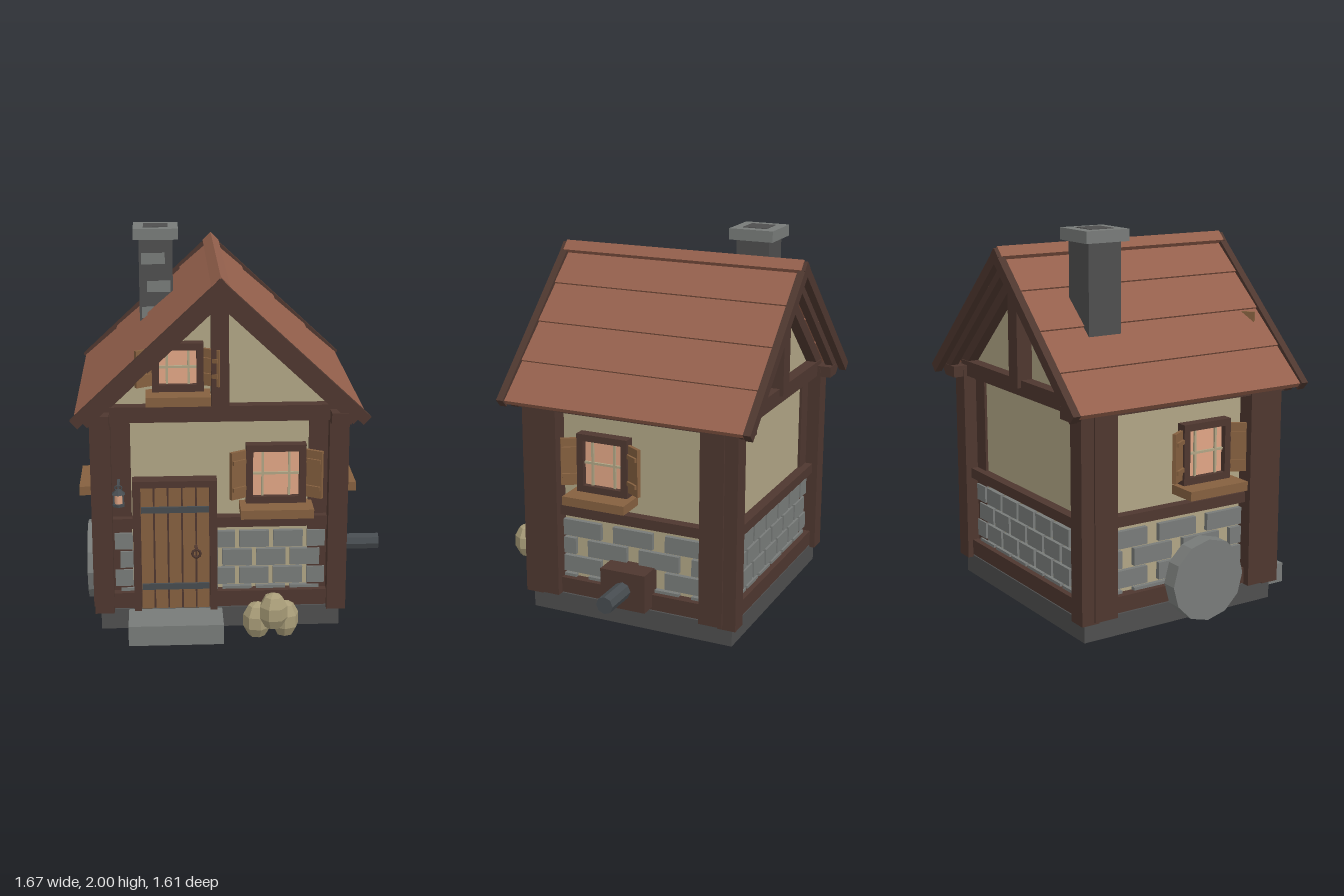
import * as THREE from 'three';

const paint = (name, color) => {
  const m = new THREE.MeshStandardMaterial({ color });
  m.name = name;
  return m;
};

export function createModel() {
  const plaster = paint('plaster', 0xb0a585), timber = paint('darkTimber', 0x4e372f),
    wood = paint('plankWood', 0x85603f), tile = paint('roofTile', 0x94604c),
    stone = paint('lightStone', 0x787b79), dark = paint('darkStone', 0x4e4e4e),
    iron = paint('iron', 0x464b4f), glass = paint('warmGlass', 0xe0a585), sack = paint('sackCloth', 0xa89c78);
  sack.flatShading = true;

  const model = new THREE.Group();
  model.name = 'cottage';
  const CX = -0.083, CZ = -0.097, HX = 0.573, HZ = 0.523; // house centre, wall half sizes

  const add = (parent, name, geo, mat, x = 0, y = 0, z = 0) => {
    const m = new THREE.Mesh(geo, mat);
    m.name = name;
    m.position.set(x, y, z);
    parent.add(m);
    return m;
  };
  const box = (parent, name, mat, w, h, d, x, y, z) =>
    add(parent, name, new THREE.BoxGeometry(w, h, d), mat, x, y, z);
  const group = (parent, name, x, y, z, ry = 0) => {
    const g = new THREE.Group();
    g.name = name;
    g.position.set(x, y, z);
    g.rotation.y = ry;
    parent.add(g);
    return g;
  };

  const house = group(model, 'house', CX, 0, CZ);

  // Foundation and pentagonal plaster body
  box(house, 'foundation', dark, 1.256, 0.11, 1.156, 0, 0.055, 0);
  const body = new THREE.Shape();
  [[-HX, 0.1], [HX, 0.1], [HX, 1.2], [0, 1.775], [-HX, 1.2]].forEach(([x, y], i) =>
    i ? body.lineTo(x, y) : body.moveTo(x, y));
  add(house, 'plasterWalls', new THREE.ExtrudeGeometry(body, { depth: HZ * 2, bevelEnabled: false }), plaster, 0, 0, -HZ);

  // Corner posts and eave plates
  for (const sx of [-1, 1]) {
    for (const sz of [-1, 1]) {
      box(house, 'cornerPost', timber, 0.1, 1.08, 0.1, sx * 0.608, 0.64, sz * 0.558);
      box(house, 'innerStud', timber, 0.13, 1.06, 0.13, sx * 0.605 - sx * 0.002 - sx * 0.001, 0.64, sz * 0.472);
      box(house, 'innerStud', timber, 0.13, 1.06, 0.13, sx * 0.524, 0.64, sz * 0.472);
    }
    box(house, 'eavePlate', timber, 0.1, 0.06, 1.33, sx * 0.61, 1.165, 0);
  }

  // Each wall: sill, rail and rows of stones, built facing +z
  const addWall = (name, half, dist, ry, pitch, stoneW, gable) => {
    const w = group(house, name, 0, 0, 0, ry);
    box(w, 'sillBeam', timber, half * 2, 0.085, 0.1, 0, 0.158, dist + 0.005);
    box(w, 'midRail', timber, half * 2 - 0.03, 0.055, 0.1, 0, 0.588, dist + 0.005);
    const edge = half - 0.02;
    for (let row = 0; row < 4; row++) {
      const y = 0.48 - row * 0.103;
      for (let i = -6; i <= 6; i++) {
        const c = (i + (row % 2 ? 0.5 : 0)) * pitch;
        const a = Math.max(-edge, c - stoneW / 2), b = Math.min(edge, c + stoneW / 2);
        if (b - a > 0.04) box(w, 'wallStone', stone, b - a, 0.09, 0.05, (a + b) / 2, y, dist);
      }
    }
    if (!gable) return;
    box(w, 'gableBeam', timber, 1.25, 0.082, 0.11, 0, 1.178, dist + 0.01);
    box(w, 'kingPost', timber, 0.09, 0.6, 0.13, 0, 1.48, dist + 0.02);
    for (const s of [-1, 1]) {
      const r = box(w, 'gableRafter', timber, 0.86, 0.06, 0.1, s * 0.31, 1.485, dist + 0.01);
      r.rotation.z = -s * 0.752;
    }
  };
  addWall('frontWall', 0.57, HZ, 0, 0.178, 0.155, true);
  addWall('backWall', 0.57, HZ, Math.PI, 0.178, 0.155, true);
  addWall('leftWall', 0.52, HX, Math.PI / 2, 0.3, 0.228, false);
  addWall('rightWall', 0.52, HX, -Math.PI / 2, 0.3, 0.228, false);

  // Roof halves: local x runs down the slope
  for (const ry of [0, Math.PI]) {
    const half = group(house, 'roofHalf', 0, 1.885, 0, ry);
    const slope = group(half, 'roofSlope', 0, 0, 0);
    slope.rotation.z = -0.752;
    for (let i = 0; i < 4; i++) {
      const c = box(slope, 'tileCourse', tile, 0.27, 0.03, 1.35 - i * 0.006, 0.125 + i * 0.253, -0.03, 0);
      c.rotation.z = 0.04;
    }
    for (const s of [-1, 1]) {
      box(slope, 'bargeBoard', timber, 1.035, 0.055, 0.04, 0.51, -0.025, s * 0.685);
      box(slope, 'underRafter', timber, 0.97, 0.045, 0.045, 0.515, -0.068, s * 0.64);
    }
  }
  const ridge = box(house, 'ridgeCap', tile, 0.065, 0.065, 1.37, 0, 1.855, 0);
  ridge.rotation.z = Math.PI / 4;

  // Chimney
  const chimney = group(model, 'chimney', -0.4, 0, -0.412);
  box(chimney, 'stack', dark, 0.185, 0.62, 0.185, 0, 1.64, 0);
  box(chimney, 'cap', stone, 0.247, 0.06, 0.247, 0, 1.967, 0);
  box(chimney, 'flue', dark, 0.135, 0.03, 0.135, 0, 1.985, 0);
  [[-0.015, 1.83], [0.015, 1.675], [-0.015, 1.53]].forEach(([x, y]) =>
    box(chimney, 'chimneyStone', stone, 0.13, 0.062, 0.02, x, y, 0.088));

  // Windows with sill, lattice and half-open shutters, built facing +z
  const addWindow = (name, w, h, x, y, z, ry) => {
    const g = group(model, name, x, y, z, ry), t = 0.036;
    const rect = (S, a, b) => new S().moveTo(-a, -b).lineTo(a, -b).lineTo(a, b).lineTo(-a, b).closePath();
    const frame = rect(THREE.Shape, w / 2, h / 2);
    frame.holes.push(rect(THREE.Path, w / 2 - t, h / 2 - t));
    add(g, 'windowFrame', new THREE.ExtrudeGeometry(frame, { depth: 0.06, bevelEnabled: false }), timber);
    const gw = w - 2 * t, gh = h - 2 * t;
    box(g, 'windowPane', glass, gw, gh, 0.008, 0, 0, 0.025);
    for (const s of [-1, 1]) box(g, 'latticeBar', plaster, 0.012, gh, 0.012, s * gw * 0.29, 0, 0.035);
    box(g, 'latticeBar', plaster, gw, 0.012, 0.012, 0, 0, 0.035);
    box(g, 'windowSill', wood, w + 0.065, 0.048, 0.165, 0, -h / 2 - 0.024, 0.083);
    for (const s of [-1, 1]) {
      const hinge = group(g, 'shutter', s * w / 2, 0, 0.035, -s * 0.55);
      box(hinge, 'shutterPanel', wood, 0.095, h - 0.06, 0.02, s * 0.0475, 0, 0);
      for (const v of [-1, 1]) box(hinge, 'shutterBatten', wood, 0.085, 0.022, 0.02, s * 0.047, v * (h / 2 - 0.085), 0.012);
    }
  };
  addWindow('frontWindow', 0.31, 0.315, 0.205, 0.848, 0.425, 0);
  addWindow('gableWindow', 0.26, 0.25, -0.295, 1.42, 0.425, 0);
  addWindow('leftWindow', 0.29, 0.315, CX + HX, 0.868, 0.06, Math.PI / 2);
  addWindow('rightWindow', 0.29, 0.315, CX - HX, 0.868, 0.06, -Math.PI / 2);

  // Door, iron straps, ring handle and step
  const door = group(model, 'door', -0.318, 0, 0.425);
  for (const s of [-1, 1]) box(door, 'doorJamb', timber, 0.037, 0.71, 0.09, s * 0.199, 0.465, 0.04);
  box(door, 'doorLintel', timber, 0.435, 0.035, 0.09, 0, 0.81, 0.04);
  box(door, 'doorBacking', timber, 0.37, 0.68, 0.04, 0, 0.455, 0.03);
  for (let i = -2; i <= 2; i++) box(door, 'doorPlank', wood, 0.063, 0.68, 0.04, i * 0.0725, 0.455, 0.045);
  for (const y of [0.668, 0.242]) box(door, 'doorStrap', iron, 0.35, 0.032, 0.015, 0, y, 0.07);
  add(door, 'ringHandle', new THREE.TorusGeometry(0.021, 0.007, 6, 10), timber, 0.108, 0.44, 0.112);
  box(door, 'handleMount', timber, 0.015, 0.015, 0.06, 0.108, 0.462, 0.085);
  box(model, 'doorStep', stone, 0.49, 0.108, 0.24, -0.32, 0.054, 0.577);

  // Hanging lantern
  const lantern = group(model, 'lantern', -0.605, 0, 0.535);
  box(lantern, 'lanternBracket', iron, 0.014, 0.014, 0.12, 0, 0.815, -0.05);
  const hook = add(lantern, 'lanternLoop', new THREE.TorusGeometry(0.018, 0.004, 5, 10), iron, 0, 0.806, 0);
  hook.scale.y = 0.8;
  add(lantern, 'lanternRoof', new THREE.CylinderGeometry(0.01, 0.038, 0.025, 6), iron, 0, 0.787, 0);
  add(lantern, 'lanternGlow', new THREE.CylinderGeometry(0.022, 0.022, 0.055, 6), glass, 0, 0.748, 0);
  add(lantern, 'lanternBase', new THREE.CylinderGeometry(0.034, 0.034, 0.014, 6), iron, 0, 0.717, 0);
  for (const s of [-1, 1]) box(lantern, 'lanternBar', iron, 0.007, 0.055, 0.02, s * 0.024, 0.748, 0);

  // Axle box and shaft on the left wall
  box(model, 'axleBox', timber, 0.15, 0.208, 0.255, 0.56, 0.235, -0.097);
  const axle = add(model, 'axleShaft', new THREE.CylinderGeometry(0.047, 0.047, 0.22, 8), iron, 0.727, 0.237, -0.097);
  axle.rotation.z = Math.PI / 2;
  iron.flatShading = true;

  // Millstone standing against the right wall
  const mill = add(model, 'millstone', new THREE.CylinderGeometry(0.217, 0.217, 0.085, 12), stone, -0.75, 0.215, 0.02);
  mill.rotation.z = Math.PI / 2;
  stone.flatShading = true;

  // Sacks by the front wall
  [[0.1, 0.102, 0.625, 0], [0.245, 0.102, 0.615, 0.6], [0.175, 0.2, 0.738, 0.3]].forEach(([x, y, z, r]) => {
    const m = add(model, 'sack', new THREE.SphereGeometry(0.076, 7, 5), sack, x, y, z);
    m.scale.y = 1.34;
    m.rotation.y = r;
  });

  return model;
}
